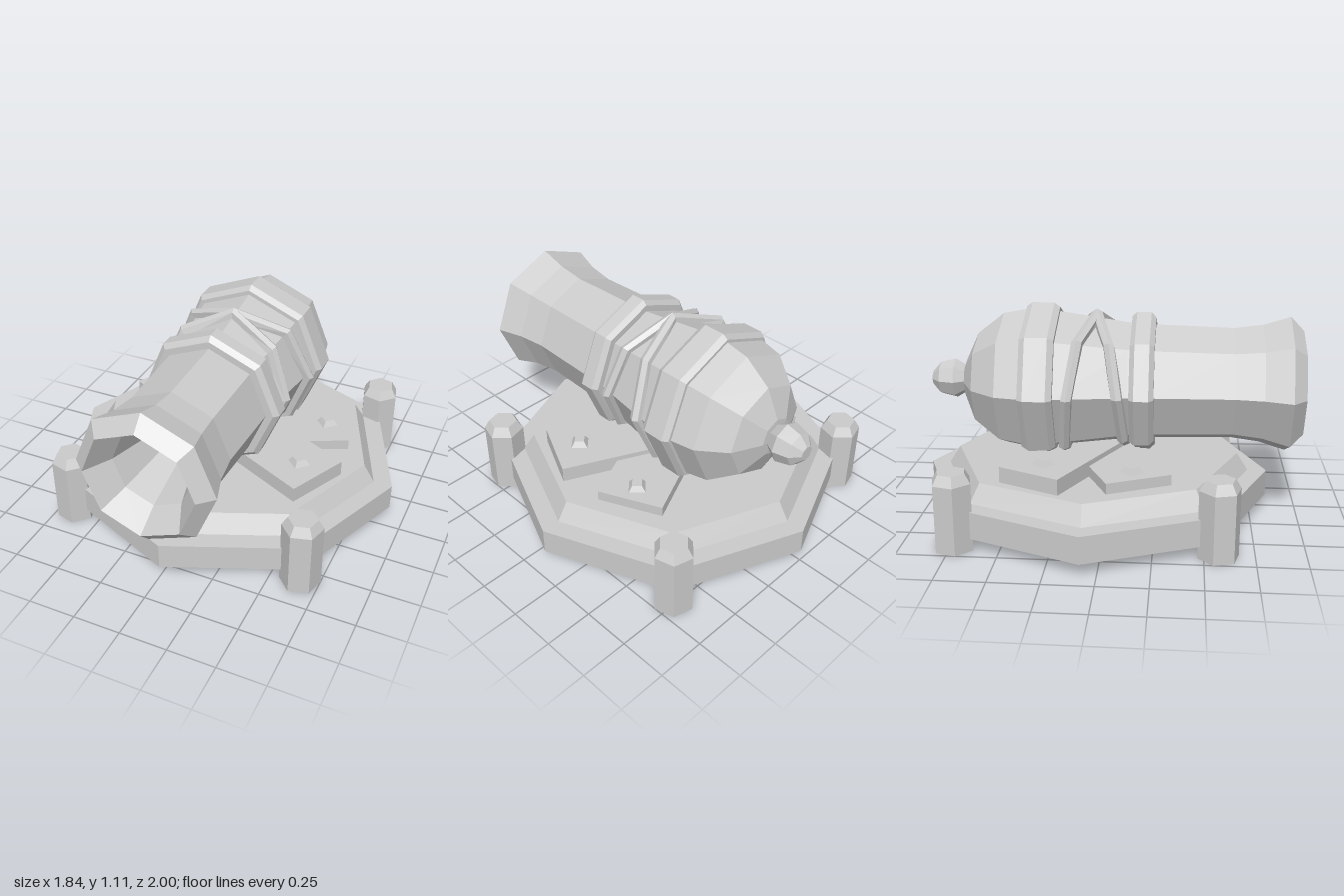
import * as THREE from 'three';

const mat = new THREE.MeshStandardMaterial({ color: 0xcccccc, flatShading: true });
const CENTER_Z = -0.08; // centre of the base
const AXIS_Y = 0.69;    // height of the barrel axis

function add(parent, name, geometry, x = 0, y = 0, z = 0, ry = 0) {
  const mesh = new THREE.Mesh(geometry, mat);
  mesh.name = name;
  mesh.position.set(x, y, z);
  mesh.rotation.y = ry;
  parent.add(mesh);
  return mesh;
}

// Eight-sided turned part along z; profile is [z, radius] from back to front
function turned(profile) {
  const points = profile.map(([z, r]) => new THREE.Vector2(r, z));
  return new THREE.LatheGeometry(points, 8).rotateX(Math.PI / 2);
}

// Upright prism standing on y = 0
function prism(rTop, rBottom, height, sides) {
  return new THREE.CylinderGeometry(rTop, rBottom, height, sides).translate(0, height / 2, 0);
}

// Strap laid over the barrel facets, drifting along z on its way round
function strapGeometry(side) {
  const drift = [0, 0.08, 0.125, 0.15, 0.15];
  const section = [[-0.03, -0.02], [-0.026, 0.03], [0, 0.045], [0.026, 0.03], [0.03, -0.02]];
  const n = section.length;
  const positions = [], index = [];
  for (let i = -4; i <= 4; i++) {
    const a = i * Math.PI / 4;
    const zc = -0.075 + side * Math.sign(i) * drift[Math.abs(i)];
    const r = 0.335 - 0.149 * zc;
    for (const [dz, dr] of section) {
      positions.push(Math.sin(a) * (r + dr), Math.cos(a) * (r + dr), zc + dz);
    }
  }
  for (let i = 0; i < 8; i++) {
    for (let j = 0; j < n - 1; j++) {
      const p = i * n + j;
      index.push(p, p + 1, p + n, p + 1, p + n + 1, p + n);
    }
  }
  const g = new THREE.BufferGeometry();
  g.setAttribute('position', new THREE.Float32BufferAttribute(positions, 3));
  g.setIndex(index);
  g.computeVertexNormals();
  return g;
}

export function createModel() {
  const model = new THREE.Group();
  model.name = 'cannon';

  // Octagonal base with a bevelled upper step
  const base = new THREE.Group();
  base.name = 'base';
  base.position.z = CENTER_Z;
  model.add(base);
  add(base, 'baseSlab', prism(0.92, 0.92, 0.14, 8), 0, 0.065, 0);
  add(base, 'baseStep', prism(0.76, 0.82, 0.095, 8), 0, 0.205, 0);

  // Corner posts, each with an edge pointing outward
  for (const sx of [-1, 1]) {
    for (const sz of [-1, 1]) {
      const post = new THREE.Group();
      post.name = 'cornerPost';
      post.position.set(sx * 0.65, 0, sz * 0.65);
      post.rotation.y = Math.atan2(sx, sz);
      base.add(post);
      add(post, 'postShaft', prism(0.105, 0.105, 0.35, 6));
      add(post, 'postCap', prism(0.075, 0.105, 0.05, 6), 0, 0.35, 0);
    }
  }

  // Two crossed planks, each held by a pair of bolts
  for (const [length, top, angle] of [[1.32, 0.382, -0.445], [1.24, 0.355, 0.431]]) {
    const plank = new THREE.Group();
    plank.name = 'plankAssembly';
    plank.rotation.y = angle;
    base.add(plank);
    const h = top - 0.29;
    add(plank, 'plank', new THREE.BoxGeometry(length, h, 0.345), 0, 0.29 + h / 2, 0);
    for (const s of [-1, 1]) {
      add(plank, 'bolt', prism(0.035, 0.06, 0.03, 4), s * 0.52, top, 0, -angle);
    }
  }

  // Barrel with flared muzzle and tapered bore
  const gun = new THREE.Group();
  gun.name = 'gun';
  gun.position.y = AXIS_Y;
  model.add(gun);
  add(gun, 'barrel', turned([
    [-0.79, 0], [-0.78, 0.1], [-0.71, 0.25], [-0.57, 0.36], [-0.44, 0.385],
    [-0.27, 0.375], [0.1, 0.32], [0.24, 0.312], [0.64, 0.3], [0.79, 0.32],
    [0.93, 0.364], [1, 0.29], [0.86, 0.21], [0.45, 0.09], [0.45, 0],
  ]));

  // Raised reinforcing bands
  add(gun, 'frontBand', turned([
    [0.11, 0.3], [0.11, 0.355], [0.135, 0.377], [0.21, 0.377], [0.235, 0.35], [0.235, 0.3],
  ]));
  add(gun, 'rearBand', turned([
    [-0.445, 0.35], [-0.445, 0.4], [-0.415, 0.42], [-0.3, 0.42], [-0.27, 0.398], [-0.27, 0.35],
  ]));

  // Knob at the breech
  add(gun, 'breechKnob', turned([
    [-0.965, 0], [-0.965, 0.038], [-0.92, 0.088], [-0.84, 0.107], [-0.77, 0.065],
  ]));

  // Crossed straps
  for (const s of [-1, 1]) add(gun, 'strap', strapGeometry(s));

  return model;
}
